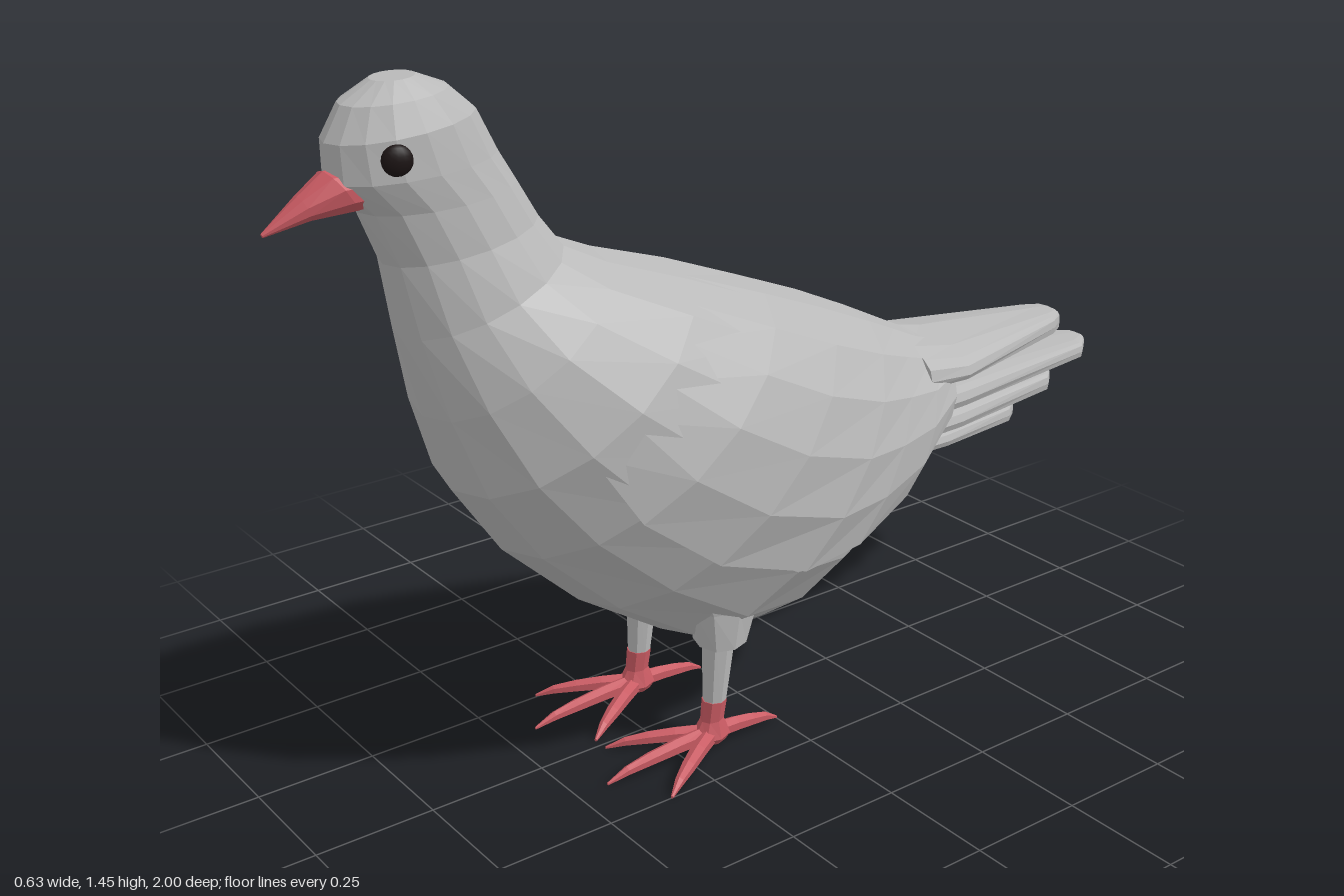
import * as THREE from 'three';

const material = (name, color) => Object.assign(new THREE.MeshStandardMaterial({ color }), { name });

// Rebuild a geometry with one normal per face for the low-poly look
function faceted(positions, index) {
  const g = new THREE.BufferGeometry();
  g.setAttribute('position', new THREE.Float32BufferAttribute(positions, 3));
  g.setIndex(index);
  const flat = g.toNonIndexed();
  flat.computeVertexNormals();
  return flat;
}

// Point on a ring [zBack, yBack, zFront, yFront, halfWidth]; angle 0 is the back (or top), PI the front
function ringPoint([zb, yb, zf, yf, w], a, scale = 1, power = 1, arch = 0) {
  const pow = v => Math.sign(v) * Math.abs(v) ** power;
  const t = 0.5 - 0.5 * pow(Math.cos(a)) * scale;
  const x = w * pow(Math.sin(a)) * scale;
  return [x, yb + (yf - yb) * t - arch * x * x, zb + (zf - zb) * t];
}

// Closed skin through a row of rings
function loft(rings, { sides = 16, power = 1, arch = 0 } = {}) {
  const pos = [], index = [];
  for (const r of rings)
    for (let j = 0; j < sides; j++) pos.push(...ringPoint(r, j / sides * Math.PI * 2, 1, power, arch));
  const last = rings.length - 1, start = rings.length * sides;
  for (const r of [rings[0], rings[last]]) pos.push(0, (r[1] + r[3]) / 2, (r[0] + r[2]) / 2);
  for (let j = 0; j < sides; j++) {
    const k = (j + 1) % sides;
    for (let i = 0; i < last; i++) {
      const a = i * sides + j, b = i * sides + k;
      index.push(a, b, a + sides, b, b + sides, a + sides);
    }
    index.push(start, k, j, start + 1, last * sides + j, last * sides + k);
  }
  return faceted(pos, index);
}

// Folded wings: a raised sheet over the body whose lower edge tucks back in
function wingSheet(rings, edges, lifts) {
  const n = 12, cols = n + 3, pos = [], index = [];
  rings.forEach((r, i) => {
    const limit = Math.acos(1 - 2 * edges[i]);
    for (let j = -1; j <= n + 1; j++) {
      const lip = j < 0 || j > n;
      const a = (THREE.MathUtils.clamp(j, 0, n) / n * 2 - 1) * limit;
      pos.push(...ringPoint(r, a, lip ? 0.92 : 1 + lifts[i] * Math.abs(Math.sin(a))));
    }
  });
  for (let i = 0; i < rings.length - 1; i++)
    for (let j = 0; j < cols - 1; j++) {
      const a = i * cols + j;
      index.push(a, a + 1, a + cols, a + 1, a + 1 + cols, a + cols);
    }
  return faceted(pos, index);
}

export function createModel() {
  const root = new THREE.Group();
  root.name = 'bird';
  const plumage = material('grey plumage', 0xb9b9b9);
  const red = material('red skin', 0xc85a62);
  const dark = material('dark eye', 0x1c1414);
  const add = (name, geometry, mat, parent = root) => {
    const mesh = new THREE.Mesh(geometry, mat);
    mesh.name = name;
    parent.add(mesh);
    return mesh;
  };

  // Head, neck and body, from the crown down to the rump
  const bodyRings = [
    [0.70, 1.45, 0.78, 1.445, 0.04],
    [0.64, 1.425, 0.84, 1.41, 0.077],
    [0.59, 1.38, 0.875, 1.35, 0.1],
    [0.55, 1.30, 0.875, 1.28, 0.106],
    [0.515, 1.24, 0.82, 1.22, 0.106],
    [0.475, 1.17, 0.78, 1.12, 0.114],
    [0.43, 1.11, 0.755, 0.98, 0.145],
    [0.35, 1.075, 0.72, 0.82, 0.21],
    [0.18, 1.02, 0.67, 0.66, 0.275],
    [0.00, 0.95, 0.57, 0.51, 0.302],
    [-0.15, 0.89, 0.40, 0.35, 0.305],
    [-0.28, 0.83, 0.20, 0.22, 0.287],
    [-0.36, 0.79, 0.03, 0.21, 0.258],
    [-0.43, 0.755, -0.22, 0.33, 0.215],
    [-0.48, 0.735, -0.43, 0.50, 0.165],
  ];
  add('body', loft(bodyRings), plumage);
  add('foldedWings', wingSheet(bodyRings.slice(8),
    [0.70, 0.74, 0.73, 0.67, 0.63, 0.68, 0.78],
    [-0.03, 0.04, 0.05, 0.055, 0.055, 0.05, 0.04]), plumage);

  // Stacked tail feathers: each row is top, bottom and half width at a z station
  const tail = (name, arch, rows) => add(name,
    loft(rows.map(([z, top, bottom, w]) => [z, top, z, bottom, w]), { power: 0.5, arch }), plumage);
  tail('upperTail', 1.6, [
    [-0.38, 0.765, 0.70, 0.175], [-0.50, 0.738, 0.69, 0.165],
    [-0.86, 0.704, 0.655, 0.065], [-0.90, 0.70, 0.652, 0.042],
  ]);
  tail('longTail', 0.4, [
    [-0.38, 0.66, 0.605, 0.18], [-0.50, 0.652, 0.60, 0.165],
    [-0.95, 0.62, 0.578, 0.072], [-1.0, 0.615, 0.575, 0.03],
  ]);
  tail('middleTail', 0.4, [
    [-0.38, 0.60, 0.55, 0.165], [-0.50, 0.592, 0.543, 0.15],
    [-0.84, 0.57, 0.523, 0.075], [-0.88, 0.565, 0.52, 0.04],
  ]);
  tail('lowerTail', 0.4, [
    [-0.36, 0.545, 0.505, 0.14], [-0.48, 0.538, 0.497, 0.13],
    [-0.72, 0.52, 0.475, 0.075], [-0.765, 0.515, 0.47, 0.04],
  ]);

  // Beak, from tip to base
  add('beak', loft([
    [1.0, 1.214, 0.997, 1.207, 0.004],
    [0.93, 1.267, 0.915, 1.222, 0.03],
    [0.88, 1.303, 0.83, 1.225, 0.05],
    [0.82, 1.30, 0.79, 1.23, 0.05],
  ], { sides: 10 }), red);

  for (const side of [1, -1]) {
    // Eye
    const eye = add(side > 0 ? 'leftEye' : 'rightEye', new THREE.SphereGeometry(0.028, 14, 10), dark);
    eye.scale.x = 0.55;
    eye.position.set(side * 0.091, 1.325, 0.787);
    eye.rotation.y = -side * 0.3;

    // Leg with feathered thigh, shank and ankle
    const leg = new THREE.Group();
    leg.name = side > 0 ? 'leftLeg' : 'rightLeg';
    leg.position.x = side * 0.135;
    root.add(leg);
    add('thigh', loft([
      [0.03, 0.42, 0.27, 0.42, 0.075],
      [0.07, 0.32, 0.215, 0.32, 0.06],
      [0.10, 0.235, 0.20, 0.235, 0.053],
    ], { sides: 8, power: 0.8 }), plumage, leg);
    add('shank', loft([
      [0.115, 0.26, 0.188, 0.26, 0.034],
      [0.14, 0.10, 0.188, 0.10, 0.024],
    ], { sides: 8 }), plumage, leg);
    add('ankle', loft([
      [0.138, 0.105, 0.19, 0.105, 0.026],
      [0.145, 0.065, 0.195, 0.06, 0.024],
      [0.13, 0.03, 0.215, 0.025, 0.036],
      [0.14, 0.012, 0.205, 0.012, 0.025],
    ], { sides: 8 }), red, leg);

    // Toes: three forward, one back
    for (const [name, angle, length] of [
      ['middleToe', Math.PI, 0.26], ['outerToe', Math.PI + 0.56, 0.22],
      ['innerToe', Math.PI - 0.56, 0.22], ['backToe', 0, 0.17],
    ]) {
      const rings = [
        [0, 0.047, 0.012, 0.02], [0.35, 0.043, 0.01, 0.017], [0.6, 0.036, 0.008, 0.015],
        [0.82, 0.026, 0.005, 0.01], [1, 0.006, 0, 0.003],
      ].map(([t, top, bottom, w]) => [-t * length, top, -t * length, bottom, w]);
      const toe = add(name, loft(rings, { sides: 6 }), red, leg);
      toe.position.z = 0.17;
      toe.rotation.y = angle;
    }
  }
  return root;
}
